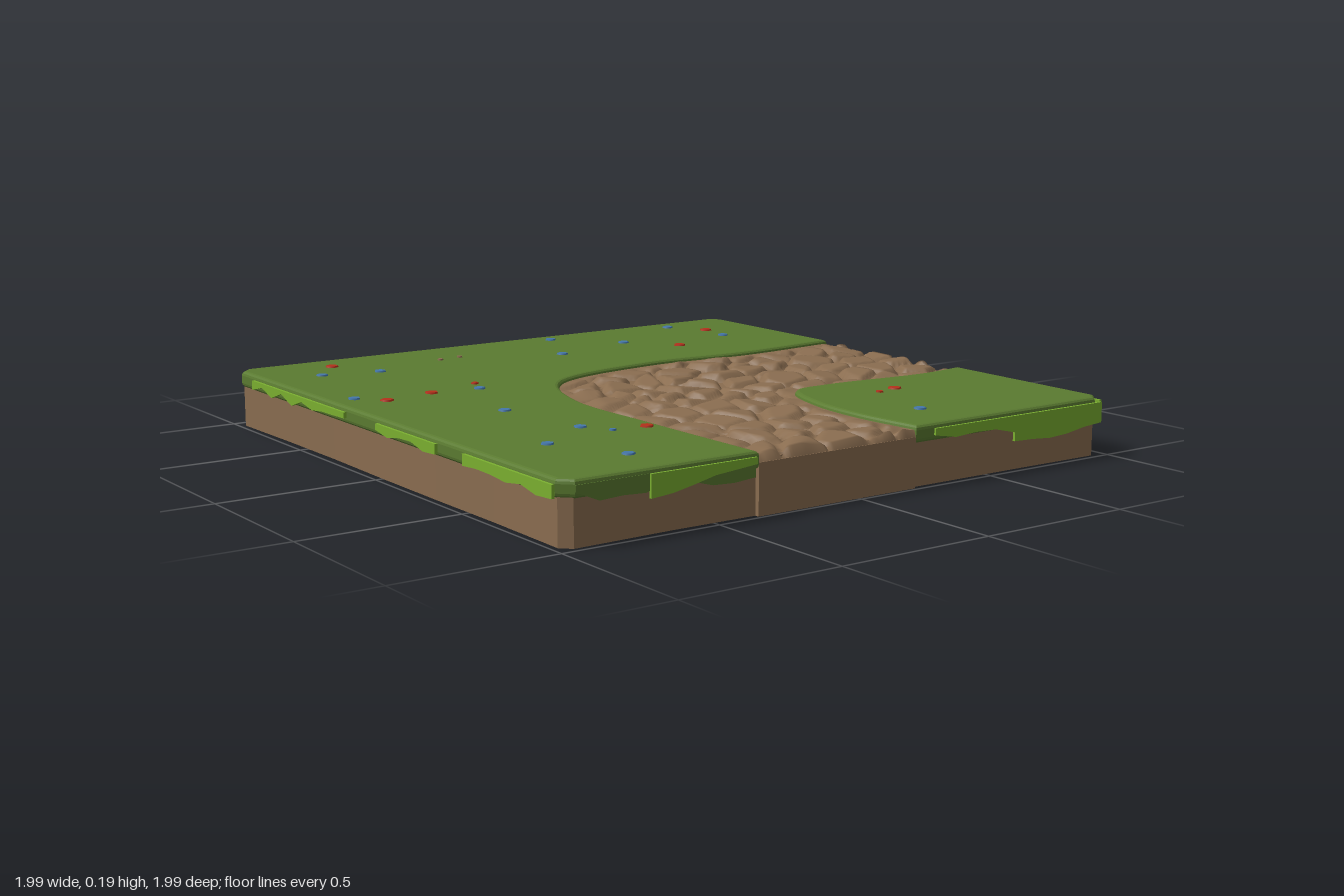
import * as THREE from 'three';

const mat = (name, color) => {
  const m = new THREE.MeshStandardMaterial({ color });
  m.name = name;
  return m;
};

// small seeded hash, 0..1
const hash = (i, j, k) => {
  const s = Math.sin(i * 127.1 + j * 311.7 + k * 74.7) * 43758.5453;
  return s - Math.floor(s);
};
const { lerp, smoothstep } = THREE.MathUtils;

// path edges as x, z pairs, running from the front edge round to the right edge
const curve = (pts) => new THREE.CatmullRomCurve3(pts.map(([x, z]) => new THREE.Vector3(x, 0, z)));
const outerEdge = curve([[-0.36, 0.99], [-0.37, 0.5], [-0.36, 0.1], [-0.21, -0.21],
  [0.22, -0.32], [0.6, -0.3], [0.99, -0.33]]);
const innerEdge = curve([[0.21, 0.99], [0.19, 0.75], [0.21, 0.54], [0.29, 0.35],
  [0.43, 0.33], [0.8, 0.36], [0.99, 0.34]]);
const edgePoints = (c) => c.getPoints(48).map((p) => [p.x, p.z]);

// solid from an x, z outline, between two heights
function slab(outline, y0, y1, bevel = 0) {
  const shape = new THREE.Shape(outline.map(([x, z]) => new THREE.Vector2(x, -z)));
  const g = new THREE.ExtrudeGeometry(shape, {
    depth: y1 - y0 - 2 * bevel, bevelEnabled: bevel > 0, bevelThickness: bevel,
    bevelSize: bevel, bevelOffset: -bevel, bevelSegments: 3,
  });
  g.rotateX(-Math.PI / 2);
  g.translate(0, y0 + bevel, 0);
  return g;
}

// square outline with cut corners and slightly uneven sides
function earthOutline() {
  const points = [];
  for (let side = 0; side < 4; side++) {
    const c = Math.cos(side * Math.PI / 2), s = Math.sin(side * Math.PI / 2);
    for (let i = 0; i <= 6; i++) {
      const along = lerp(-0.95, 0.95, i / 6);
      const out = 0.98 - (i % 6 ? 0.01 * hash(side, i, 6) : 0);
      points.push([out * c - along * s, out * s + along * c]);
    }
  }
  return points;
}

// cobble relief: rounded, tilted cells with sunken joints
function cobbleHeight(x, z) {
  const s = 0.125, ci = Math.floor(x / s), cj = Math.floor(z / s);
  let d1 = 9, d2 = 9, tilt = 0;
  for (let i = ci - 2; i <= ci + 2; i++) {
    for (let j = cj - 2; j <= cj + 2; j++) {
      const dx = x - (i + 0.1 + 0.8 * hash(i, j, 1)) * s;
      const dz = z - (j + 0.1 + 0.8 * hash(i, j, 2)) * s;
      const d = Math.hypot(dx, dz);
      if (d < d1) {
        d2 = d1;
        d1 = d;
        tilt = dx * (hash(i, j, 3) - 0.5) * 0.3 + dz * (hash(i, j, 4) - 0.5) * 0.3
          + (hash(i, j, 5) - 0.5) * 0.008;
      } else if (d < d2) d2 = d;
    }
  }
  return Math.min(0.156 + 0.023 * smoothstep(d2 - d1, 0, 0.04) + tilt, 0.19);
}

// relief sheet stretched between the two path edges, folded down at its ends
function cobbleGeometry() {
  const g = new THREE.PlaneGeometry(1, 1, 190, 64);
  const p = g.attributes.position, uv = g.attributes.uv;
  const a = new THREE.Vector3(), b = new THREE.Vector3();
  for (let i = 0; i < p.count; i++) {
    const u = uv.getX(i), v = 1 - uv.getY(i);
    outerEdge.getPoint(u, a);
    innerEdge.getPoint(u, b);
    a.lerp(b, v);
    const rim = smoothstep(Math.min(v, 1 - v), 0, 0.1);
    const y = u < 0.001 || u > 0.999 ? 0.145 : lerp(0.17, cobbleHeight(a.x, a.z), rim);
    p.setXYZ(i, a.x, y, a.z);
  }
  g.computeVertexNormals();
  return g;
}

// thin plate along a side, from t0 to t1, with a ragged lower edge sloping from low0 to low1
function fringe(t0, t1, low0, low1) {
  const top = 0.172, n = Math.ceil((t1 - t0) / 0.08);
  const s = new THREE.Shape();
  s.moveTo(t1, top - 0.004).lineTo(t0, top - 0.004);
  for (let i = 0; i <= n; i++) {
    const low = lerp(low0, low1, i / n) + (hash(i, n, t0) - 0.5) * 0.03;
    s.lineTo(lerp(t0, t1, i / n), Math.min(low, top - 0.01));
  }
  return new THREE.ExtrudeGeometry(s, { depth: 0.009, bevelEnabled: false });
}

export function createModel() {
  const root = new THREE.Group();
  root.name = 'grassPathTile';
  const grass = mat('grassGreen', 0x5b7b31);
  const bright = mat('brightGrass', 0x7bb030);
  const dirt = mat('dirtBrown', 0x8a6d50);
  const red = mat('flowerRed', 0xb5301a);
  const blue = mat('flowerBlue', 0x4477ab);
  const add = (name, geometry, material, parent = root) => {
    const m = new THREE.Mesh(geometry, material);
    m.name = name;
    parent.add(m);
    return m;
  };

  // earth block, path body and cobbled surface
  const outer = edgePoints(outerEdge), inner = edgePoints(innerEdge);
  add('earthBlock', slab(earthOutline(), 0, 0.158), dirt);
  add('pathBody', slab([...outer, ...inner.slice().reverse()], 0, 0.15), dirt);
  add('cobbles', cobbleGeometry(), dirt);

  // turf on both sides of the path
  const e = 0.987, c = 0.95;
  add('outerTurf', slab([...outer, [e, -c], [c, -e], [-c, -e], [-e, -c], [-e, c], [-c, e]],
    0.13, 0.183, 0.014), grass);
  add('innerTurf', slab([...inner, [e, c], [c, e]], 0.13, 0.183, 0.014), grass);

  // ragged turf fringes hanging over the four sides
  const side = (name, turn) => {
    const g = new THREE.Group();
    g.name = name;
    g.rotation.y = turn;
    root.add(g);
    return (material, z, ...span) => {
      add('fringe', fringe(...span), material, g).position.z = z;
    };
  };
  const front = side('frontFringe', 0);
  front(grass, 0.981, -0.95, -0.37, 0.135, 0.115);
  front(bright, 0.988, -0.72, -0.37, 0.115, 0.14);
  front(bright, 0.988, 0.28, 0.6, 0.15, 0.115);
  front(bright, 0.988, 0.6, 0.97, 0.09, 0.09);
  const right = side('rightFringe', Math.PI / 2);
  right(grass, 0.981, 0.33, 0.95, 0.135, 0.13);
  right(bright, 0.988, -0.97, -0.36, 0.095, 0.145);
  const back = side('backFringe', Math.PI);
  back(bright, 0.988, -0.7, 0.9, 0.145, 0.145);
  back(bright, 0.988, -0.38, -0.3, 0.115, 0.13);
  back(bright, 0.988, 0.33, 0.41, 0.115, 0.13);
  const left = side('leftFringe', -Math.PI / 2);
  left(bright, 0.988, -0.85, -0.2, 0.145, 0.145);
  left(bright, 0.988, 0, 0.35, 0.145, 0.15);
  left(bright, 0.988, 0.5, 0.95, 0.135, 0.13);

  // little flowers as thin discs at x, z
  const flowers = (name, material, r, list) => list.forEach(([x, z], i) => {
    const f = add(name, new THREE.CylinderGeometry(r * 0.9, r, 0.006, 6), material);
    f.position.set(x, 0.185, z);
    f.rotation.y = i * 0.7;
  });
  flowers('redFlower', red, 0.022, [[-0.71, -0.85], [0.77, -0.76], [0.49, -0.54], [-0.84, -0.22],
    [-0.67, -0.25], [-0.42, 0.55], [0.55, 0.52]]);
  flowers('redBud', red, 0.012, [[-0.48, -0.31], [0.47, 0.54]]);
  flowers('blueFlower', blue, 0.02, [[-0.81, -0.72], [-0.62, -0.68], [0.18, -0.9], [0.69, -0.89],
    [0.36, -0.7], [0.75, -0.63], [0.05, -0.62], [-0.91, -0.3], [-0.51, -0.23], [-0.63, 0.12],
    [-0.58, 0.45], [-0.78, 0.59], [-0.67, 0.82], [0.39, 0.81]]);
  flowers('blueBud', blue, 0.011, [[-0.53, 0.54]]);
  flowers('tanFleck', dirt, 0.01, [[-0.35, -0.76], [-0.27, -0.77]]);

  return root;
}
